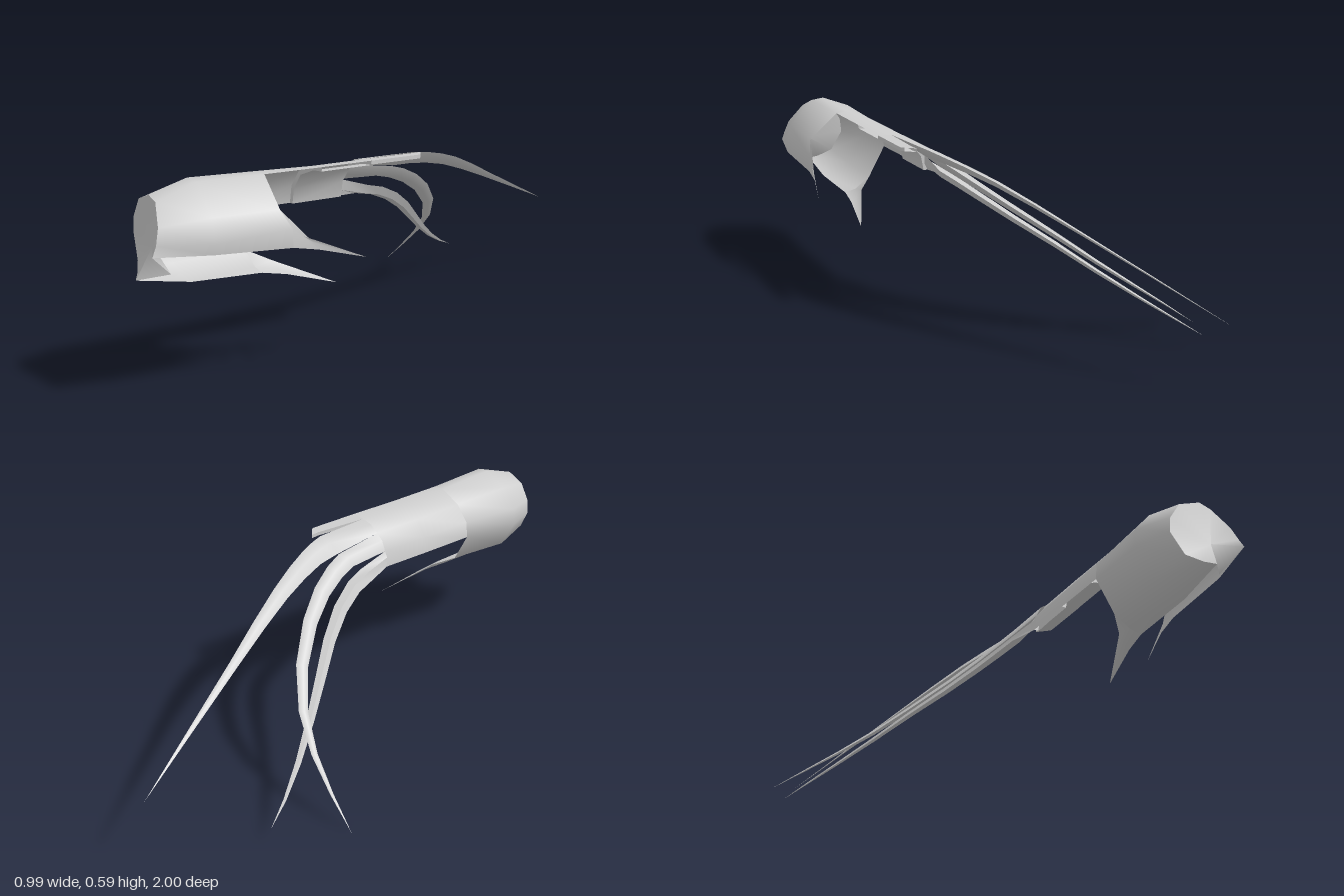
import * as THREE from 'three';
import { toCreasedNormals } from 'three/addons/utils/BufferGeometryUtils.js';

const material = new THREE.MeshStandardMaterial({ color: 0xcccccc, side: THREE.DoubleSide });
const V = (p) => new THREE.Vector3(...p);

// Mesh from a list of triangles, each three corner points; collapsed ones are dropped.
function meshFrom(name, triangles) {
  const solid = triangles.filter((t) => new THREE.Triangle(...t.map(V)).getArea() > 1e-8);
  const geo = new THREE.BufferGeometry();
  geo.setAttribute('position', new THREE.Float32BufferAttribute(solid.flat(2), 3));
  const mesh = new THREE.Mesh(toCreasedNormals(geo, 0.95), material);
  mesh.name = name;
  return mesh;
}

// Triangles of a skin between cross-sections, ordered front to back.
function skin(rows) {
  const tris = [];
  for (let r = 0; r < rows.length - 1; r++) {
    for (let c = 0; c < rows[r].length - 1; c++) {
      const a = rows[r][c], b = rows[r][c + 1], d = rows[r + 1][c], e = rows[r + 1][c + 1];
      tris.push([a, d, b], [b, d, e]);
    }
  }
  return tris;
}
const sheet = (name, rows) => meshFrom(name, skin(rows));

// Curved tapering blade of diamond section: starts between two shell points
// and follows a path of centres.
function blade(name, rootA, rootB, path, width, thickness) {
  const curve = new THREE.CatmullRomCurve3(path.map(V), false, 'centripetal');
  const lean = new THREE.Vector3(-0.6, 0.8, 0);
  const diamond = (p, side, depth) => {
    const up = lean.clone().multiplyScalar(depth / 2);
    const offsets = [side, up, side.clone().negate(), up.clone().negate(), side];
    return offsets.map((o) => p.clone().add(o).toArray());
  };
  const a = V(rootA), b = V(rootB);
  const rows = [diamond(a.clone().lerp(b, 0.5), a.clone().sub(b).multiplyScalar(0.5), thickness * 0.6)];
  const steps = 8;
  for (let i = 0; i <= steps; i++) {
    const t = i / steps;
    const taper = 1 - t ** 1.4;
    const side = curve.getTangent(t).cross(lean).normalize().multiplyScalar((width / 2) * taper);
    rows.push(diamond(curve.getPoint(t), side, thickness * taper));
  }
  return sheet(name, rows);
}

export function createModel() {
  const group = new THREE.Group();

  // Cross-sections of the shell, running from one lip of the slit round to the other
  const front = [
    [0.41, 0.41, 1], [0.405, 0.44, 0.985], [0.39, 0.485, 0.97], [0.34, 0.545, 0.95],
    [0.3, 0.558, 0.95], [0.23, 0.535, 0.945], [0.195, 0.48, 0.945], [0.19, 0.43, 0.945],
    [0.23, 0.36, 0.955], [0.275, 0.335, 0.98], [0.305, 0.325, 1],
  ];
  const middle = [
    [0.445, 0.4], [0.45, 0.43], [0.43, 0.5], [0.345, 0.587], [0.3, 0.592], [0.205, 0.555],
    [0.15, 0.49], [0.145, 0.43], [0.205, 0.33], [0.27, 0.297], [0.31, 0.295],
  ].map(([x, y]) => [x, y, 0.83]);
  const rear = [
    [0.45, 0.385, 0.58], [0.447, 0.44, 0.58], [0.43, 0.495, 0.61], [0.333, 0.58, 0.6],
    [0.29, 0.583, 0.6], [0.21, 0.55, 0.6], [0.16, 0.495, 0.6], [0.155, 0.44, 0.6],
    [0.215, 0.335, 0.6], [0.27, 0.295, 0.6], [0.31, 0.285, 0.6],
  ];

  // Shell with its front cap, folded inward where the slit begins
  const centre = [0.325, 0.42, 0.955];
  const notch = [0.37, 0.345, 0.925];
  const rim = [notch, ...front, notch];
  const cap = rim.slice(1).map((p, i) => [centre, rim[i], p]);
  group.add(meshFrom('shell', [...skin([front, middle, rear]), ...cap]));

  // Sleeve: the upper part of the shell carried on towards the back
  const sleeve = [
    [0.33, 0.578], [0.282, 0.575], [0.205, 0.548], [0.162, 0.495], [0.152, 0.44],
  ];
  const at = (z) => sleeve.map(([x, y]) => [x, y, z]);
  const end = at(0.22);
  group.add(sheet('sleeve', [rear.slice(3, 8), at(0.4), end]));

  // Lining that thickens the back half of the sleeve
  const inner = (z) => sleeve.map(([x, y]) => [x + (0.3 - x) * 0.1, y + (0.44 - y) * 0.1, z]);
  group.add(sheet('sleeveLining', [at(0.4), inner(0.4), inner(0.22), end]));

  // Two short spikes beside the slit
  const upperTip = [0.495, 0.335, 0.36];
  group.add(sheet('upperSpike', [
    rear.slice(0, 3),
    [[0.458, 0.37, 0.5], [0.455, 0.392, 0.515], [0.448, 0.42, 0.56]],
    [upperTip, upperTip, upperTip],
  ]));
  const lowerTip = [0.345, 0.225, 0.36];
  group.add(sheet('lowerSpike', [
    rear.slice(8),
    [[0.27, 0.305, 0.54], [0.295, 0.28, 0.53], [0.318, 0.27, 0.52]],
    [lowerTip, lowerTip, lowerTip],
  ]));

  // Cut-off strip along the top
  const strip = [
    [end[0], end[1]],
    [[0.328, 0.577, 0.035], [0.29, 0.576, 0.03]],
    [[0.318, 0.577, 0.025], [0.286, 0.576, 0]],
  ].map(([p, q]) => {
    const drop = ([x, y, z]) => [x, y - 0.012, z];
    return [p, q, drop(q), drop(p), p];
  });
  group.add(sheet('shortStrip', strip));

  // Three long trailing blades
  group.add(blade('topBlade', end[1], end[2], [
    [0.232, 0.549, 0.03], [0.207, 0.54, -0.06], [0.125, 0.498, -0.25],
    [-0.01, 0.398, -0.53], [-0.235, 0.22, -1],
  ], 0.085, 0.03));
  group.add(blade('middleBlade', end[2], end[3], [
    [0.175, 0.505, 0.06], [0.145, 0.48, -0.03], [0.08, 0.425, -0.15], [-0.05, 0.325, -0.3],
    [-0.2, 0.21, -0.4], [-0.35, 0.105, -0.44], [-0.495, 0, -0.455],
  ], 0.065, 0.03));
  group.add(blade('lowerBlade', end[3], end[4], [
    [0.138, 0.447, 0.12], [0.108, 0.422, 0.02], [0.033, 0.36, -0.11], [-0.08, 0.275, -0.25],
    [-0.2, 0.18, -0.4], [-0.31, 0.1, -0.55], [-0.38, 0.05, -0.67],
  ], 0.055, 0.03));

  return group;
}
